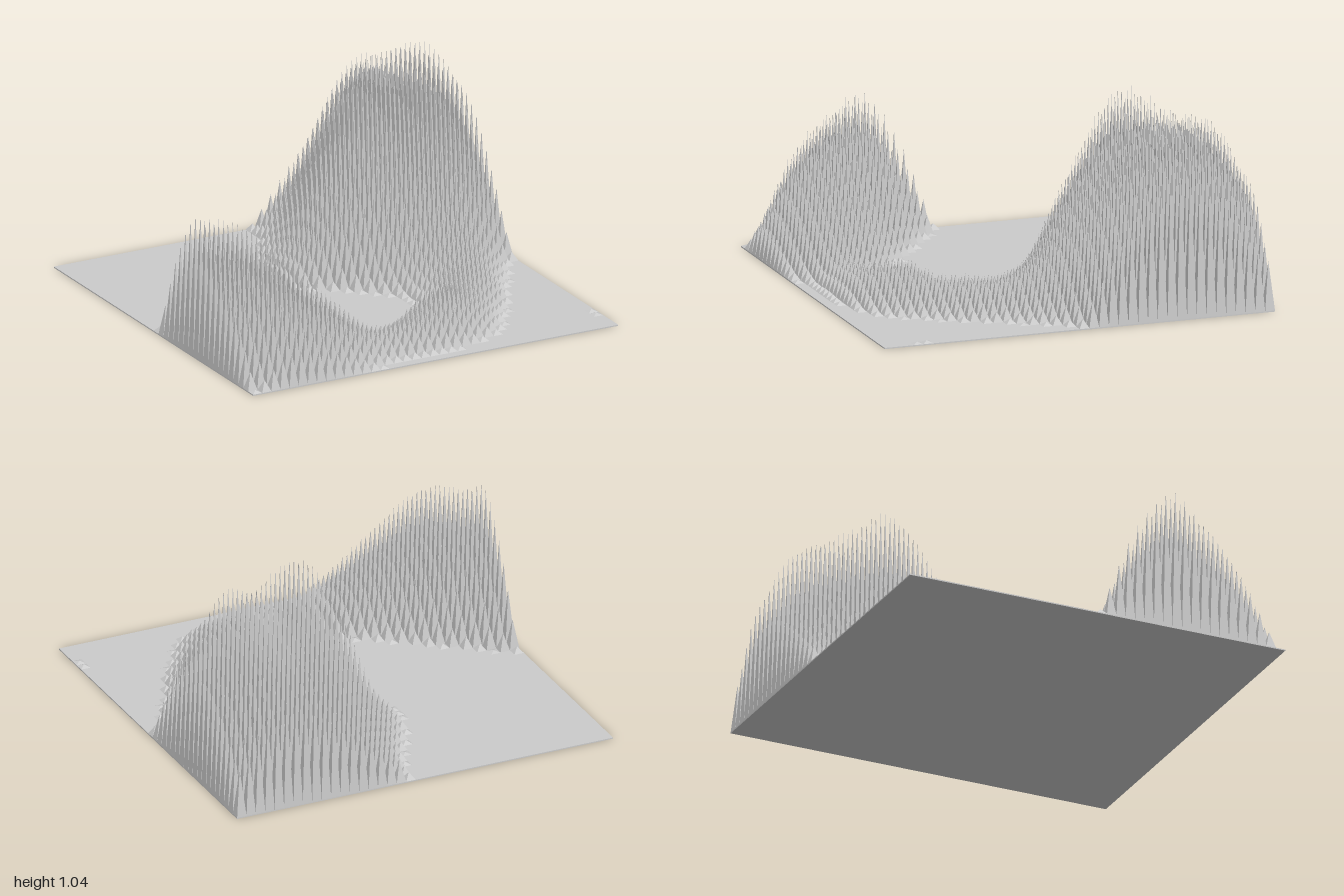
import * as THREE from 'three';
import { mergeGeometries } from 'three/addons/utils/BufferGeometryUtils.js';

const CELLS = 40, CELL = 2 / CELLS, PLATE = 0.006;

// Relief heights every 0.2 units: rows run back to front, columns run -x to +x.
// Values below zero are flat ground.
const RELIEF = [
  [-.30, -.30, -.30, -.30, -.20, -.05, .20, .43, .57, .50, .20],
  [-.30, -.30, -.30, -.30, -.15, .00, .32, .72, .85, .86, .50],
  [-.30, -.30, -.30, -.30, -.08, .13, .55, .94, .88, .98, .74],
  [-.30, -.30, -.30, -.30, -.02, .24, .73, 1.02, .90, .90, .65],
  [-.25, -.30, -.30, -.30, -.04, .20, .50, .68, .65, .60, .35],
  [.00, -.20, -.30, -.30, -.20, -.08, .13, .28, .33, .20, .00],
  [.50, .15, -.10, -.25, -.25, -.20, -.04, .14, .20, .05, -.10],
  [.74, .61, .22, -.02, -.15, -.10, .00, .17, .14, -.05, -.15],
  [.56, .68, .47, .26, .06, .08, .22, .17, .02, -.10, -.03],
  [.30, .52, .43, .27, .14, .15, .15, .06, -.06, -.10, .03],
  [-.02, .13, .13, .06, -.02, -.03, -.05, -.10, -.12, -.10, -.05],
];

// Smooth interpolation through a row of evenly spaced values
function spline(values, t) {
  const last = values.length - 1;
  const i = Math.min(Math.floor(t), last - 1), f = t - i;
  const at = (k) => values[Math.max(0, Math.min(last, k))];
  const [a, b, c, d] = [at(i - 1), at(i), at(i + 1), at(i + 2)];
  return b + 0.5 * f * (c - a + f * (2 * a - 5 * b + 4 * c - d + f * (3 * (b - c) + d - a)));
}

function heightAt(x, z) {
  return spline(RELIEF.map((row) => spline(row, (x + 1) * 5)), (z + 1) * 5);
}

// Four-sided spike filling one cell
function spike(x, z, height) {
  const g = new THREE.ConeGeometry(CELL / Math.SQRT2, height, 4, 1, true);
  g.rotateY(Math.PI / 4);
  g.translate(x, PLATE + height / 2, z);
  return g;
}

export function createModel() {
  const group = new THREE.Group();
  group.name = 'spikeField';
  const material = new THREE.MeshStandardMaterial({ color: 0xcccccc, flatShading: true });

  // Thin ground plate
  const plate = new THREE.Mesh(new THREE.BoxGeometry(2, PLATE, 2), material);
  plate.position.y = PLATE / 2;
  plate.name = 'groundPlate';
  group.add(plate);

  // One spike per raised cell
  const spikes = [];
  for (let row = 0; row < CELLS; row++) {
    for (let col = 0; col < CELLS; col++) {
      const x = -1 + (col + 0.5) * CELL, z = -1 + (row + 0.5) * CELL;
      const height = heightAt(x, z) - PLATE;
      if (height > 0.005) spikes.push(spike(x, z, height));
    }
  }
  const field = new THREE.Mesh(mergeGeometries(spikes), material);
  field.name = 'spikes';
  group.add(field);
  return group;
}
